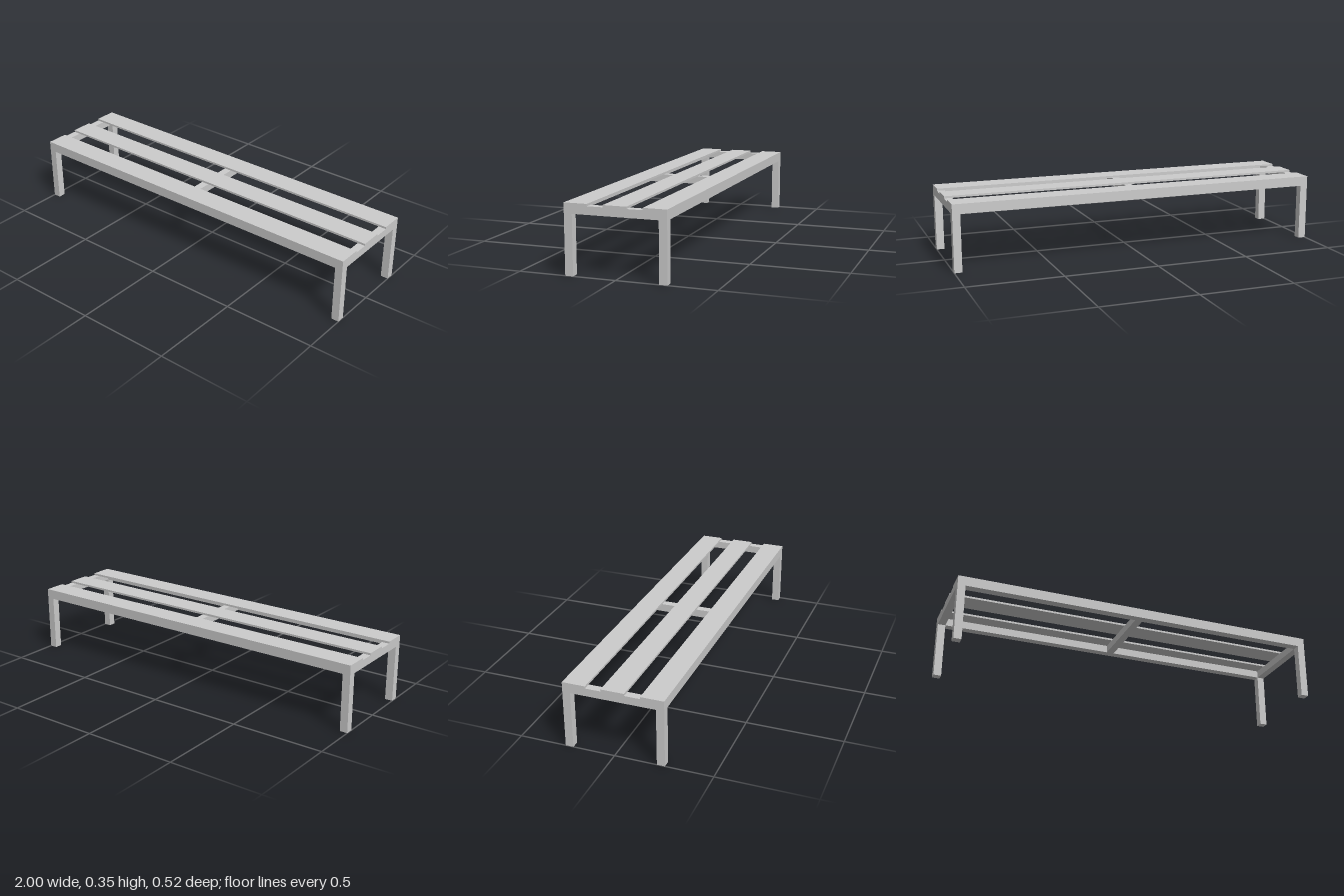
import * as THREE from 'three';

export function createModel() {
  const bench = new THREE.Group();
  bench.name = 'slattedBench';
  const material = new THREE.MeshStandardMaterial({ color: 0xcccccc, flatShading: true });

  const halfL = 1, halfW = 0.258, tube = 0.041;
  const frameBottom = 0.3, frameTop = 0.341, top = 0.352;

  // Box given by its limits along each axis
  function bar(name, x0, x1, y0, y1, z0, z1) {
    const mesh = new THREE.Mesh(new THREE.BoxGeometry(x1 - x0, y1 - y0, z1 - z0), material);
    mesh.position.set((x0 + x1) / 2, (y0 + y1) / 2, (z0 + z1) / 2);
    mesh.name = name;
    bench.add(mesh);
  }

  // Square legs at the four corners
  for (const [sx, side] of [[1, 'Left'], [-1, 'Right']]) {
    for (const [sz, end] of [[1, 'front'], [-1, 'back']]) {
      const x = sx * (halfL - tube / 2), z = sz * (halfW - tube / 2), h = tube / 2;
      bar(`${end}${side}Leg`, x - h, x + h, 0, frameBottom, z - h, z + h);
    }
  }

  // Long frame rails
  bar('frontRail', -halfL, halfL, frameBottom, frameTop, halfW - tube, halfW);
  bar('backRail', -halfL, halfL, frameBottom, frameTop, -halfW, tube - halfW);

  // Cross rails at both ends and the middle
  const inner = halfW - tube;
  for (const [name, x] of [['leftCrossRail', halfL - tube / 2], ['middleCrossRail', 0], ['rightCrossRail', tube / 2 - halfL]]) {
    bar(name, x - tube / 2, x + tube / 2, frameBottom, frameTop, -inner, inner);
  }

  // Three thin seat slats
  const slat = 0.119;
  for (const [name, z] of [['frontSlat', halfW - slat / 2], ['middleSlat', 0], ['backSlat', slat / 2 - halfW]]) {
    bar(name, -halfL, halfL, frameTop, top, z - slat / 2, z + slat / 2);
  }

  return bench;
}
